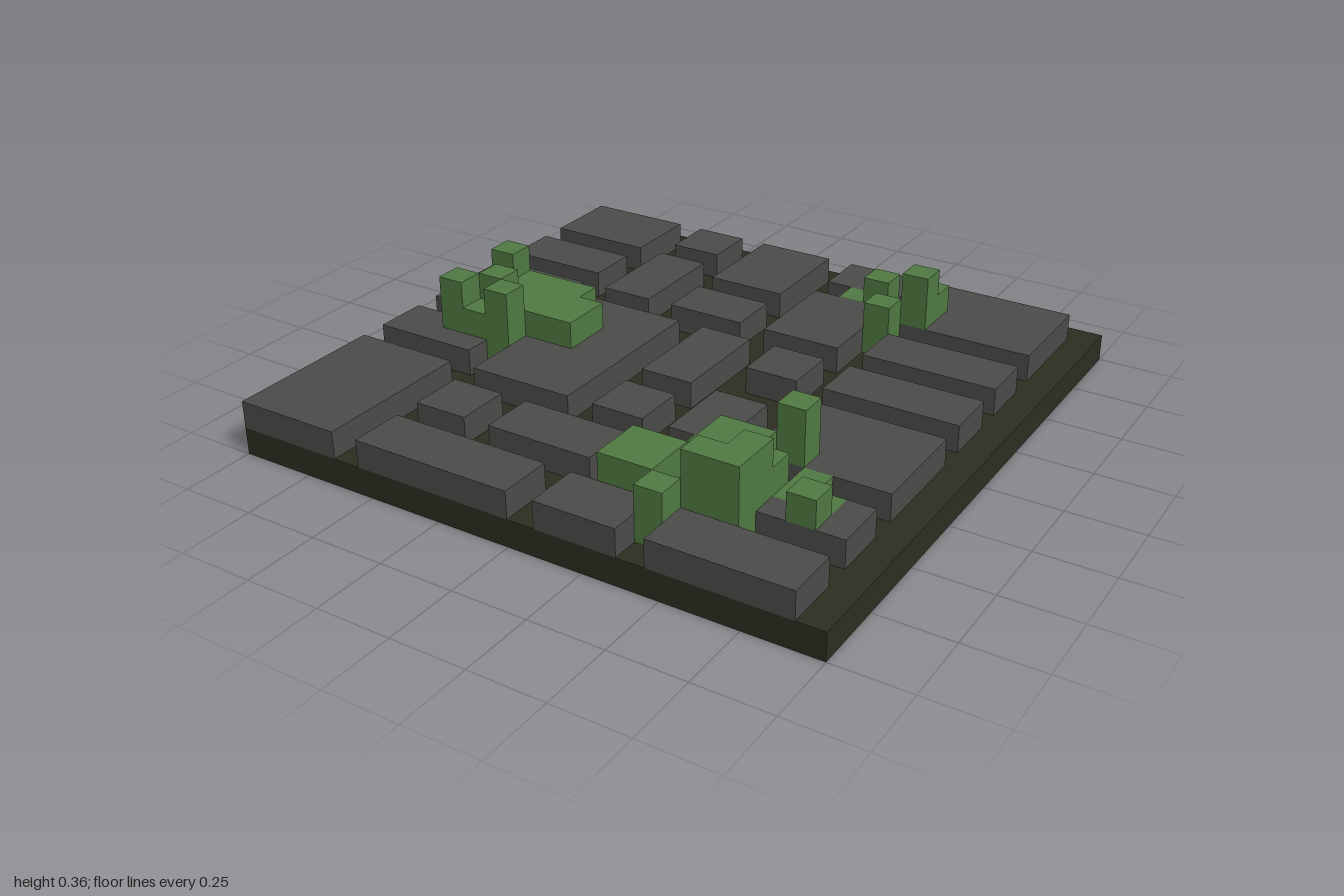
import * as THREE from 'three';
import { mergeGeometries } from 'three/addons/utils/BufferGeometryUtils.js';

const N = 22;          // cells per side
const S = 2 / N;       // cell size

// Stone blocks as [column0, row0, column1, row1] (end exclusive), two cells high
const blocks = [
  [0, 1, 4, 4], [5, 1, 7, 3], [8, 1, 11, 5], [12, 1, 15, 3], [16, 1, 21, 5],
  [0, 5, 4, 7], [5, 4, 7, 8], [8, 6, 11, 8], [12, 4, 15, 8], [16, 6, 21, 8],
  [0, 8, 4, 12], [5, 9, 9, 16], [10, 9, 12, 13], [10, 14, 12, 16],
  [13, 9, 15, 11], [16, 9, 21, 11], [13, 13, 15, 16], [16, 12, 21, 16],
  [0, 13, 4, 15], [0, 16, 4, 22], [5, 17, 7, 19], [8, 17, 12, 19],
  [13, 17, 15, 19], [16, 17, 21, 19],
  [5, 20, 11, 22], [12, 20, 15, 22], [16, 20, 21, 22],
];

// Shrub patches as [column0, row0, column1, row1, height in cells]
const shrubs = {
  shrubLeft: [
    [3, 10, 6, 11, 3], [2, 11, 7, 13, 3], [3, 13, 4, 14, 3],
    [2, 10, 3, 11, 4], [3, 12, 4, 13, 4], [2, 13, 3, 14, 4], [4, 13, 5, 14, 4],
  ],
  shrubBack: [
    [13, 3, 14, 4, 2], [14, 3, 15, 4, 3], [16, 3, 17, 4, 3],
    [16, 4, 17, 5, 4], [15, 5, 16, 6, 3],
  ],
  shrubFront: [
    [17, 15, 18, 16, 4], [14, 16, 15, 17, 2], [15, 16, 17, 17, 3], [18, 16, 19, 17, 2],
    [15, 17, 18, 18, 3], [18, 17, 20, 18, 2], [13, 18, 15, 20, 3], [16, 18, 17, 19, 3],
    [17, 18, 18, 20, 4], [16, 19, 17, 20, 4], [19, 18, 20, 19, 3], [15, 20, 16, 21, 3],
  ],
};

function eachCell([c0, r0, c1, r1], visit) {
  for (let r = r0; r < r1; r++) for (let c = c0; c < c1; c++) visit(c, r);
}

export function createModel() {
  const mat = (name, color) => {
    const m = new THREE.MeshStandardMaterial({ color });
    m.name = name;
    return m;
  };
  const ground = mat('dark earth', 0x2e2d21);
  const stone = mat('grey stone', 0x4b4b49);
  const leaf = mat('leaf green', 0x4f7942);

  // Height map of the whole board; shrubs overwrite the stone below them
  const height = Array.from({ length: N }, () => new Array(N).fill(1));
  const isStone = Array.from({ length: N }, () => new Array(N).fill(false));
  blocks.forEach((b) => eachCell(b, (c, r) => { height[r][c] = 2; isStone[r][c] = true; }));
  Object.values(shrubs).flat().forEach((p) => eachCell(p, (c, r) => {
    height[r][c] = p[4];
    if (p[4] === 2) isStone[r][c] = false;
  }));
  const heightAt = (c, r) => height[r]?.[c] ?? 1;

  // Exposed faces of one column from level lo to level hi
  function columnFaces(out, c, r, lo, hi) {
    const x = (c + 0.5) * S - 1, z = (r + 0.5) * S - 1;
    if (height[r][c] === hi) {
      out.push(new THREE.PlaneGeometry(S, S).rotateX(-Math.PI / 2).translate(x, hi * S, z));
    }
    for (const [dx, dz] of [[1, 0], [-1, 0], [0, 1], [0, -1]]) {
      const from = Math.max(lo, heightAt(c + dx, r + dz));
      if (from >= hi) continue;
      out.push(new THREE.PlaneGeometry(S, (hi - from) * S)
        .rotateY(Math.atan2(dx, dz))
        .translate(x + dx * S / 2, (hi + from) / 2 * S, z + dz * S / 2));
    }
  }

  const model = new THREE.Group();
  model.name = 'overgrownCityBlocks';
  function add(name, faces, material) {
    const mesh = new THREE.Mesh(mergeGeometries(faces), material);
    mesh.name = name;
    model.add(mesh);
  }

  // Ground slab, also the streets
  const slab = new THREE.Mesh(new THREE.BoxGeometry(2, S, 2), ground);
  slab.name = 'groundSlab';
  slab.position.y = S / 2;
  model.add(slab);

  // Stone blocks between the streets
  blocks.forEach((b, i) => {
    const faces = [];
    eachCell(b, (c, r) => { if (isStone[r][c]) columnFaces(faces, c, r, 1, 2); });
    add(`stoneBlock${i + 1}`, faces, stone);
  });

  // Shrubs: they rise from the street, or from the top of a block
  for (const [name, patches] of Object.entries(shrubs)) {
    const faces = [], done = new Set();
    patches.forEach((p) => eachCell(p, (c, r) => {
      const key = r * N + c;
      if (done.has(key)) return;
      done.add(key);
      columnFaces(faces, c, r, isStone[r][c] ? 2 : 1, height[r][c]);
    }));
    add(name, faces, leaf);
  }
  return model;
}
